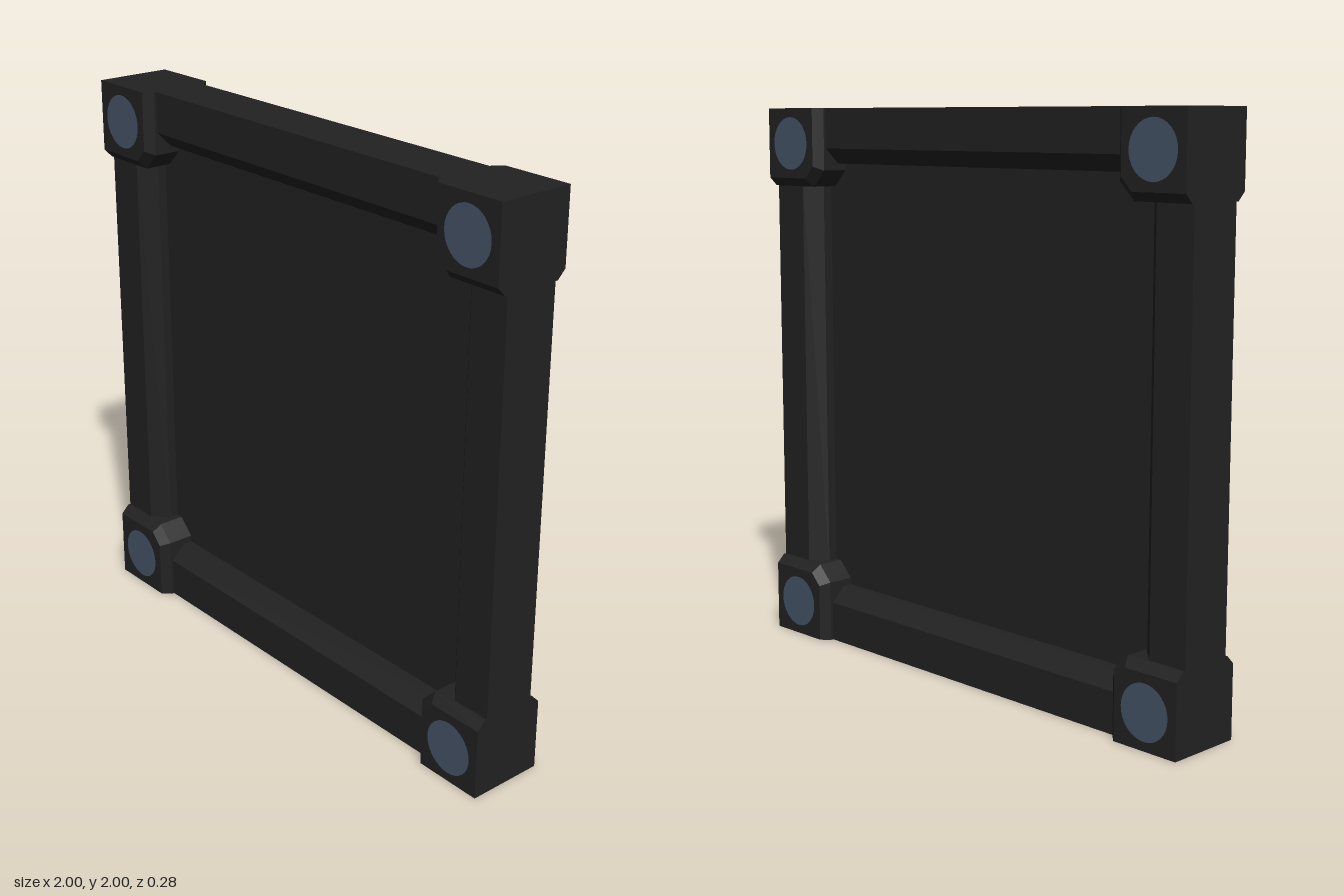
import * as THREE from 'three';
import { ConvexGeometry } from 'three/addons/geometries/ConvexGeometry.js';

const BEAM_END = 0.75;    // half length, ends hidden inside the corner blocks
const BLOCK_Z = 0.14;     // half depth of a corner block

// Outline of a corner block in its lower left corner, inner edges at e, inner corner cut by c
function cornerOutline(e, c, z) {
  return [[-1, -1], [e, -1], [e, e - c], [e - c, e], [-1, e]]
    .map(([x, y]) => new THREE.Vector3(x, y, z));
}

export function createModel() {
  const dark = new THREE.MeshStandardMaterial({ color: 0x222222 });
  dark.name = 'charcoal';
  const slate = new THREE.MeshStandardMaterial({ color: 0x475569 });
  slate.name = 'slate blue';

  const model = new THREE.Group();
  model.name = 'squareFramePanel';
  const add = (parent, name, geometry, material) => {
    const mesh = new THREE.Mesh(geometry, material);
    mesh.name = name;
    parent.add(mesh);
    return mesh;
  };

  // Beam: chamfered section (height, depth) extruded along x
  const section = new THREE.Shape([
    [-0.1, -1], [0.1, -1], [0.1, -0.855], [0.045, -0.8], [-0.045, -0.8], [-0.1, -0.855],
  ].map(([z, y]) => new THREE.Vector2(z, y)));
  const beam = new THREE.ExtrudeGeometry(section, { depth: 2 * BEAM_END, bevelEnabled: false });
  beam.translate(0, 0, -BEAM_END).rotateY(Math.PI / 2);

  // Corner block: chamfered towards the beams, flush on the outside
  const block = new ConvexGeometry([
    ...cornerOutline(-0.745, 0.044, BLOCK_Z),
    ...cornerOutline(-0.715, 0.06, BLOCK_Z - 0.03),
    ...cornerOutline(-0.715, 0.06, 0.03 - BLOCK_Z),
    ...cornerOutline(-0.745, 0.044, -BLOCK_Z),
  ]);
  const disc = new THREE.CircleGeometry(0.096, 32);

  // Thin panel recessed in the middle of the frame
  add(model, 'panel', new THREE.BoxGeometry(1.64, 1.64, 0.02), dark).position.y = 1;

  // Four identical sides, each with one corner
  for (let i = 0; i < 4; i++) {
    const side = new THREE.Group();
    side.name = 'frameSide' + (i + 1);
    side.position.y = 1;
    side.rotation.z = i * Math.PI / 2;
    add(side, 'beam', beam, dark);
    add(side, 'cornerBlock', block, dark);
    // Round inlays on both faces
    add(side, 'frontDisc', disc, slate).position.set(-0.872, -0.872, BLOCK_Z + 0.002);
    const back = add(side, 'backDisc', disc, slate);
    back.position.set(-0.872, -0.872, -BLOCK_Z - 0.002);
    back.rotation.y = Math.PI;
    model.add(side);
  }
  return model;
}
